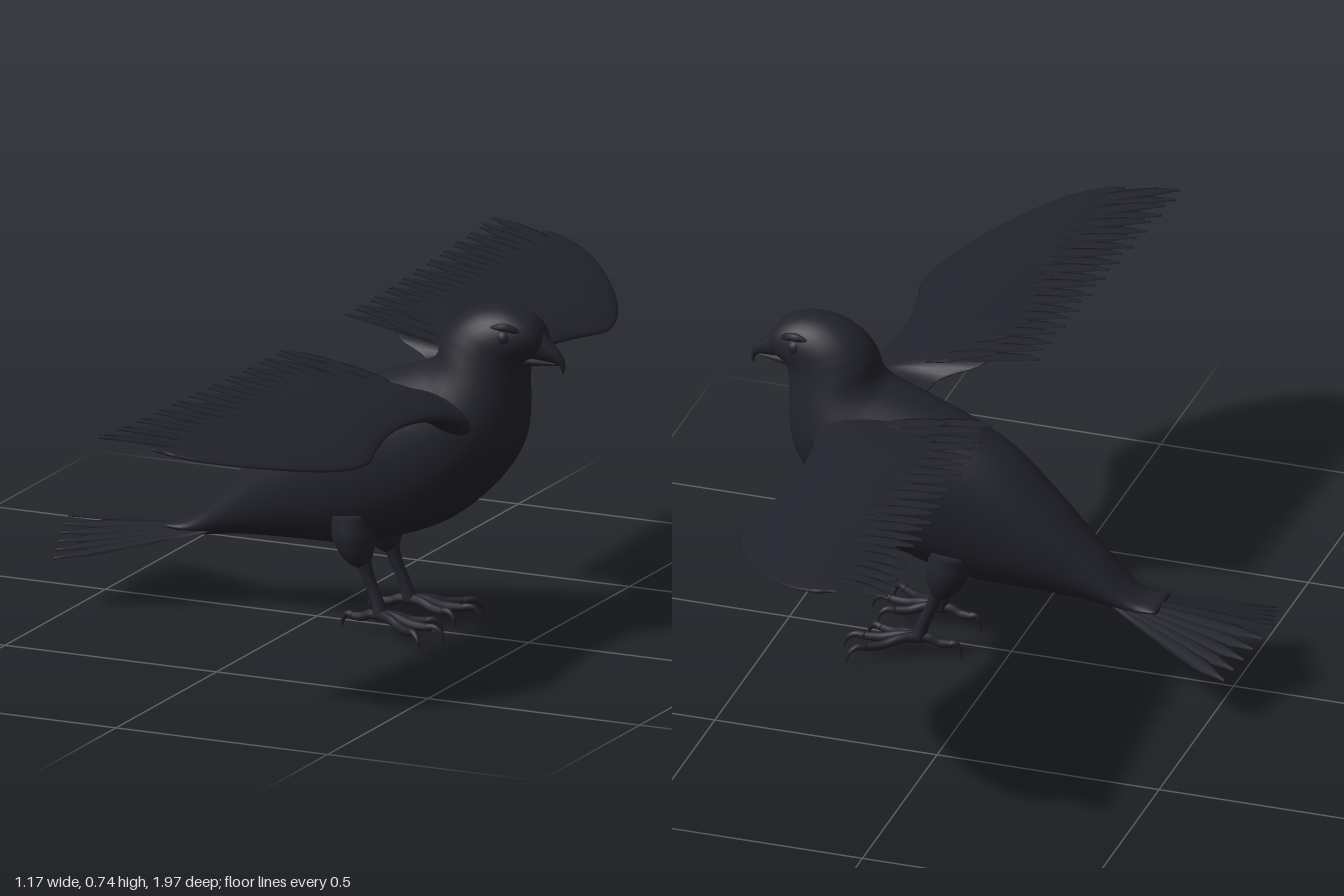
import * as THREE from 'three';

const V = (x, y, z) => new THREE.Vector3(x, y, z);
const plumage = new THREE.MeshStandardMaterial({ color: 0x22222c });
plumage.name = 'dark plumage';

// Closed skin through rings of points; faces are turned outward by the sign of the volume
function loft(rings) {
  const n = rings[0].length, pts = rings.flat(), idx = [];
  for (let i = 0; i < rings.length - 1; i++)
    for (let j = 0; j < n; j++) {
      const a = i * n + j, b = i * n + (j + 1) % n;
      idx.push(a, b, a + n, b, b + n, a + n);
    }
  for (const [i, last] of [[0, false], [rings.length - 1, true]]) {
    const c = V(0, 0, 0);
    rings[i].forEach(p => c.addScaledVector(p, 1 / n));
    const k = pts.push(c) - 1;
    for (let j = 0; j < n; j++) {
      const a = i * n + j, b = i * n + (j + 1) % n;
      if (last) idx.push(a, b, k); else idx.push(b, a, k);
    }
  }
  let volume = 0;
  const cross = V(0, 0, 0);
  for (let i = 0; i < idx.length; i += 3)
    volume += pts[idx[i]].dot(cross.crossVectors(pts[idx[i + 1]], pts[idx[i + 2]]));
  if (volume < 0) idx.reverse();
  const g = new THREE.BufferGeometry().setFromPoints(pts);
  g.setIndex(idx);
  g.computeVertexNormals();
  return g;
}

// Ellipse ring around c with half axes u and v
function ring(c, u, v, n) {
  return Array.from({ length: n }, (_, j) => {
    const t = j / n * Math.PI * 2;
    return c.clone().addScaledVector(u, Math.cos(t)).addScaledVector(v, Math.sin(t));
  });
}

// Rows of [topX, topY, bottomX, bottomY, halfWidth], smoothed along the spine
function spineLoft(rows, steps, n) {
  const top = new THREE.CatmullRomCurve3(rows.map(r => V(r[0], r[1], r[4])), false, 'centripetal');
  const low = new THREE.CatmullRomCurve3(rows.map(r => V(r[2], r[3], 0)), false, 'centripetal');
  return loft(Array.from({ length: steps + 1 }, (_, i) => {
    const a = top.getPoint(i / steps), b = low.getPoint(i / steps), w = a.z;
    a.z = 0;
    return ring(a.clone().add(b).multiplyScalar(0.5), a.clone().sub(b).multiplyScalar(0.5), V(0, 0, w), n);
  }));
}

// Linear lookup in an evenly spaced list
function sample(list, t) {
  const f = t * (list.length - 1), i = Math.min(Math.floor(f), list.length - 2);
  return THREE.MathUtils.lerp(list[i], list[i + 1], f - i);
}

// Tapered tube through points
function limb(points, radii, steps = 18, n = 10) {
  const curve = new THREE.CatmullRomCurve3(points.map(p => V(...p)));
  const { normals, binormals } = curve.computeFrenetFrames(steps, false);
  return loft(Array.from({ length: steps + 1 }, (_, i) => {
    const r = sample(radii, i / steps);
    return ring(curve.getPoint(i / steps), normals[i].clone().multiplyScalar(r),
      binormals[i].clone().multiplyScalar(r), n);
  }));
}

// Flat feather with a rounded tip; height(point) may bend it
function feather(root, tip, halfWidth, widths, height, tilt = 0) {
  const steps = 12, d = tip.clone().sub(root);
  const side = V(-d.z, 0, d.x).normalize();
  side.y = side.z * tilt;
  return loft(Array.from({ length: steps + 1 }, (_, i) => {
    const t = Math.sqrt(i / steps), c = root.clone().addScaledVector(d, t);
    if (height) c.y = height(c.x) + root.y;
    const w = halfWidth * sample(widths, t);
    return ring(c, side.clone().multiplyScalar(w), V(0, 0.0025, 0), 6);
  }));
}

// Wing camber: height of the wing surface at x
const camber = x => 0.633 - 0.1 * Math.pow(Math.max(x + 0.05, 0) / 0.45, 1.7);

export function createModel() {
  const bird = new THREE.Group();
  bird.name = 'bird';
  const add = (name, geometry, parent = bird) => {
    const m = new THREE.Mesh(geometry, plumage);
    m.name = name;
    parent.add(m);
    return m;
  };

  // Body and head in one smooth skin
  add('body', spineLoft([
    [-0.34, 0.183, -0.34, 0.168, 0.05], [-0.29, 0.195, -0.28, 0.156, 0.048],
    [-0.2, 0.285, -0.17, 0.168, 0.066], [-0.1, 0.393, -0.04, 0.174, 0.092],
    [0, 0.488, 0.08, 0.178, 0.11], [0.1, 0.543, 0.2, 0.207, 0.125],
    [0.18, 0.574, 0.32, 0.26, 0.133], [0.25, 0.6, 0.42, 0.345, 0.131],
    [0.28, 0.613, 0.478, 0.43, 0.122], [0.295, 0.632, 0.495, 0.51, 0.107],
    [0.302, 0.662, 0.496, 0.58, 0.093], [0.32, 0.692, 0.502, 0.62, 0.084],
    [0.352, 0.72, 0.515, 0.636, 0.078], [0.4, 0.741, 0.527, 0.642, 0.07],
    [0.46, 0.744, 0.535, 0.65, 0.057], [0.51, 0.725, 0.541, 0.66, 0.04],
    [0.531, 0.7, 0.543, 0.67, 0.02]], 64, 32));

  // Hooked upper beak and shorter lower beak
  add('upperBeak', spineLoft([
    [0.515, 0.712, 0.495, 0.632, 0.036], [0.54, 0.686, 0.525, 0.632, 0.027],
    [0.565, 0.663, 0.555, 0.63, 0.016], [0.582, 0.642, 0.571, 0.626, 0.009],
    [0.586, 0.622, 0.577, 0.617, 0.005], [0.582, 0.606, 0.579, 0.606, 0.001]], 20, 14));
  add('lowerBeak', spineLoft([
    [0.495, 0.645, 0.492, 0.616, 0.03], [0.53, 0.638, 0.53, 0.621, 0.02],
    [0.57, 0.63, 0.568, 0.624, 0.005]], 10, 12));

  // Fan of tail feathers drooping to the sides
  const tail = new THREE.Group();
  tail.name = 'tail';
  bird.add(tail);
  for (let i = -5; i <= 5; i++) {
    const a = Math.abs(i) / 5, z = i / 5 * 0.177;
    add('tailFeather', feather(V(-0.24, 0.182 - a * 0.008, z * 0.2),
      V(-0.588 + 0.05 * a, 0.157 - 0.045 * a, z), 0.018, [0.4, 0.6, 0.8, 1, 1, 0.15],
      null, -Math.sign(i) * 0.27), tail);
  }

  for (const s of [1, -1]) {
    const side = s > 0 ? 'right' : 'left';

    // Eye and brow ridge
    const eye = add(side + 'Eye', new THREE.SphereGeometry(0.018, 18, 12));
    eye.position.set(0.468, 0.688, s * 0.056);
    add(side + 'Brow', limb([[0.435, 0.708, s * 0.062], [0.475, 0.711, s * 0.058],
      [0.515, 0.69, s * 0.038]], [0.003, 0.009, 0.009, 0.003]));

    // Wing: rows of [z, leading x, back x, half thickness, drop]
    const wing = new THREE.Group();
    wing.name = side + 'Wing';
    bird.add(wing);
    const rows = [[0.06, 0.43, 0.22, 0.07, 0.04], [0.12, 0.413, 0.2, 0.05, 0.03],
      [0.15, 0.398, 0.12, 0.038, 0.018], [0.2, 0.381, 0.09, 0.028, 0.008],
      [0.3, 0.365, 0.07, 0.02, 0], [0.4, 0.363, 0.07, 0.017, 0], [0.5, 0.38, 0.07, 0.016, 0],
      [0.6, 0.402, 0.07, 0.015, 0], [0.7, 0.378, 0.06, 0.013, 0], [0.8, 0.322, 0.05, 0.01, 0],
      [0.9, 0.24, 0.05, 0.007, 0], [0.95, 0.18, 0.06, 0.005, 0], [0.975, 0.12, 0.07, 0.003, 0]];
    const lead = new THREE.CatmullRomCurve3(rows.map(r => V(r[0], r[1], r[2])));
    const thick = new THREE.CatmullRomCurve3(rows.map(r => V(r[0], r[3], r[4])));
    add('wingArm', loft(Array.from({ length: 49 }, (_, i) => {
      const p = lead.getPoint(i / 48), q = thick.getPoint(i / 48);
      return Array.from({ length: 24 }, (_, j) => {
        const t = j / 24 * Math.PI * 2, c = Math.cos(t);
        const x = (p.y + p.z) / 2 + (p.y - p.z) / 2 * c;
        const y = camber(x) - q.z + Math.sin(t) * (q.y * (0.55 + 0.45 * c) + 0.002);
        return V(x, y, s * p.x);
      });
    })), wing);

    // Flight feathers, fanning outward near the tip
    const count = 22;
    for (let i = 0; i < count; i++) {
      const k = i / (count - 1), z = 0.16 + 0.82 * k;
      const rootZ = z - 0.1 * k ** 3;
      const tipX = -0.01 - 0.048 * k ** 1.5 + (i % 2) * 0.008;
      add('flightFeather', feather(V(0.22 - 0.02 * k, (i % 2) * 0.003 - 0.001, s * rootZ),
        V(tipX, 0, s * z), 0.0225, [0.7, 0.9, 1, 1, 0.85, 0.15], camber), wing);
    }
    // Covert feathers layered over the flight feathers
    for (let i = 0; i < 18; i++) {
      const z = 0.17 + 0.7 * i / 17;
      add('covertFeather', feather(V(0.24, 0.003, s * (z - 0.01)), V(0.09, 0, s * z),
        0.026, [0.7, 0.9, 1, 1, 0.85, 0.2], camber), wing);
    }

    // Leg: feathered thigh, shank and four clawed toes
    const leg = new THREE.Group();
    leg.name = side + 'Leg';
    bird.add(leg);
    add('thigh', limb([[0.115, 0.26, s * 0.066], [0.122, 0.2, s * 0.07], [0.137, 0.165, s * 0.07],
      [0.147, 0.142, s * 0.07]], [0.045, 0.047, 0.038, 0.024, 0.008], 18, 16), leg);
    add('shank', limb([[0.138, 0.175, s * 0.07], [0.152, 0.13, s * 0.07], [0.172, 0.085, s * 0.071],
      [0.187, 0.04, s * 0.073]], [0.018, 0.015, 0.013, 0.014, 0.018]), leg);
    for (const [x, z] of [[0.345, 0.095], [0.318, 0.162], [0.312, 0.03], [0.09, 0.066]]) {
      const dx = x - 0.185, dz = z - 0.073;
      const at = (t, y) => [0.185 + dx * t, y, s * (0.073 + dz * t)];
      add('toe', limb([at(-0.04, 0.045), at(0.25, 0.045), at(0.5, 0.036), at(0.78, 0.036)],
        [0.014, 0.011, 0.01, 0.01, 0.008], 16), leg);
      add('claw', limb([at(0.72, 0.036), at(0.86, 0.038), at(0.96, 0.026), at(1, 0.004)],
        [0.009, 0.007, 0.005, 0.001], 12, 8), leg);
    }
  }
  return bird;
}
